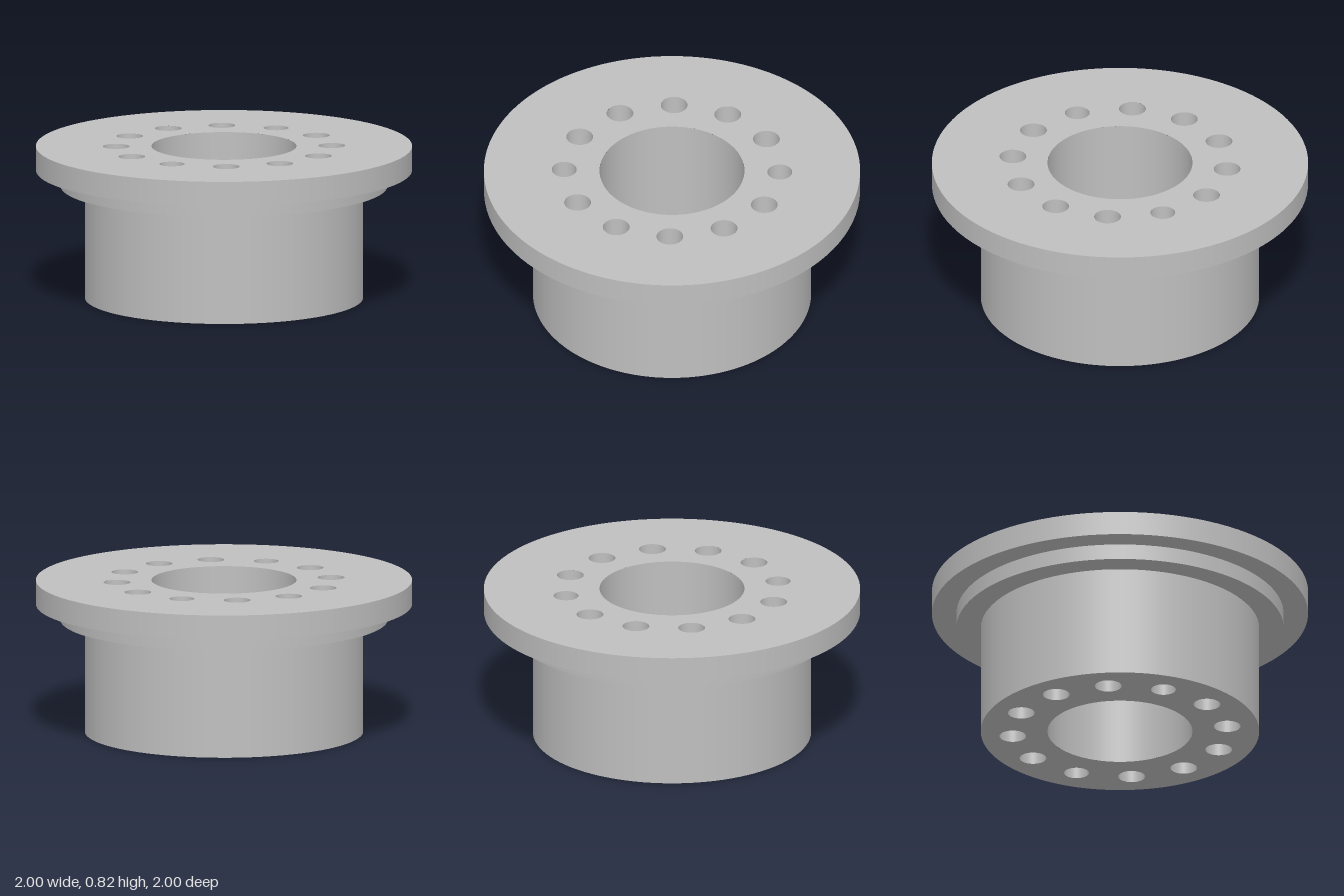
import * as THREE from 'three';

const SEG = 96;
const HEIGHT = 0.82;
const BORE = 0.385;
const BOLT_CIRCLE = 0.573;
const HOLE_COUNT = 12;

export function createModel() {
  const group = new THREE.Group();
  const metal = new THREE.MeshStandardMaterial({ color: 0xbfbfbf });
  metal.name = 'grey metal';

  const add = (name, geometry, x = 0, z = 0) => {
    const mesh = new THREE.Mesh(geometry, metal);
    mesh.name = name;
    mesh.position.set(x, 0, z);
    group.add(mesh);
  };

  // One revolved band: rising faces outward, falling faces inward
  const band = (a, b) =>
    new THREE.LatheGeometry([new THREE.Vector2(...a), new THREE.Vector2(...b)], SEG);

  // Bolt holes; the pair on the z axis is slightly smaller
  const holes = Array.from({ length: HOLE_COUNT }, (_, i) => {
    const angle = (i / HOLE_COUNT) * Math.PI * 2;
    return {
      x: BOLT_CIRCLE * Math.cos(angle),
      z: BOLT_CIRCLE * Math.sin(angle),
      r: i % 6 === 3 ? 0.066 : 0.071,
    };
  });

  // Flat disc pierced by the bore and the bolt holes
  const face = (radius, y, up) => {
    const shape = new THREE.Shape().absarc(0, 0, radius, 0, Math.PI * 2);
    const cut = (x, z, r) =>
      shape.holes.push(new THREE.Path().absarc(x, z, r, 0, Math.PI * 2, true));
    cut(0, 0, BORE);
    holes.forEach((h) => cut(h.x, h.z, h.r));
    return new THREE.ShapeGeometry(shape, SEG)
      .rotateX(up ? -Math.PI / 2 : Math.PI / 2)
      .translate(0, y, 0);
  };

  // Stepped outside, from the foot of the hub to the rim of the flange
  add('hubWall', band([0.74, 0], [0.74, 0.605]));
  add('stepUnderside', band([0.74, 0.605], [0.87, 0.605]));
  add('stepWall', band([0.87, 0.605], [0.87, 0.69]));
  add('flangeUnderside', band([0.87, 0.69], [1, 0.69]));
  add('flangeRim', band([1, 0.69], [1, HEIGHT]));

  // Pierced end faces
  add('flangeTop', face(1, HEIGHT, true));
  add('hubBottom', face(0.74, 0, false));

  // Through bore and bolt holes
  add('boreWall', band([BORE, HEIGHT], [BORE, 0]));
  holes.forEach((h) => add('boltHoleWall', band([h.r, HEIGHT], [h.r, 0]), h.x, h.z));

  return group;
}
